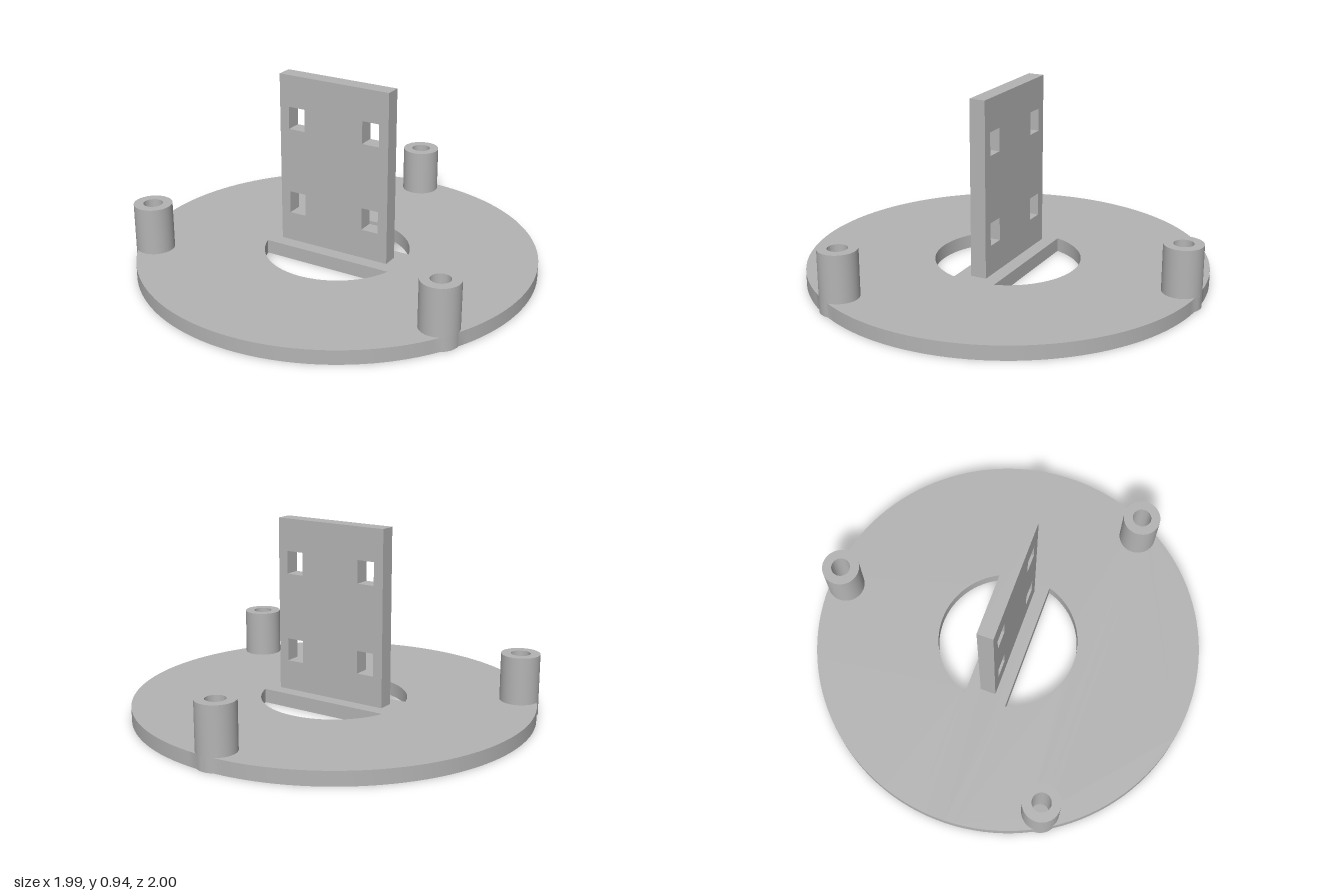
import * as THREE from 'three';
import { toCreasedNormals } from 'three/addons/utils/BufferGeometryUtils.js';

const DISC_R = 0.993, DISC_H = 0.07;
const POST_D = 0.91, POST_R = 0.095, BORE_R = 0.048, POST_TOP = 0.305;
const OPENING_R = 0.362, BAR_HALF = 0.109;
const PLATE_W = 0.6, PLATE_TOP = 0.94, PLATE_T = 0.08;
const postAngles = [90, 210, 330].map(THREE.MathUtils.degToRad);

// Points along an arc, leaving out the last one
function arc(cx, cy, r, from, to, n) {
  return Array.from({ length: n }, (_, i) => {
    const a = from + (to - from) * i / n;
    return new THREE.Vector2(cx + r * Math.cos(a), cy + r * Math.sin(a));
  });
}

const circle = (cx, cy, r) => arc(cx, cy, r, 0, Math.PI * 2, 48);

function rectangle(x0, y0, x1, y1) {
  return [[x0, y0], [x1, y0], [x1, y1], [x0, y1]].map(([x, y]) => new THREE.Vector2(x, y));
}

function extrude(outline, holes, depth) {
  const shape = new THREE.Shape(outline);
  shape.holes = holes.map((points) => new THREE.Path(points));
  const geometry = new THREE.ExtrudeGeometry(shape, { depth, bevelEnabled: false });
  return toCreasedNormals(geometry, 0.5);
}

export function createModel() {
  const model = new THREE.Group();
  model.name = 'mountingBase';
  const grey = new THREE.MeshStandardMaterial({ color: 0xb4b4b4 });
  grey.name = 'grey';

  function add(name, geometry) {
    const mesh = new THREE.Mesh(geometry, grey);
    mesh.name = name;
    mesh.position.z = 0.005;
    model.add(mesh);
    return mesh;
  }

  // Disc outline, bulging slightly where each post overhangs the rim
  const along = (DISC_R ** 2 + POST_D ** 2 - POST_R ** 2) / (2 * POST_D);
  const across = Math.sqrt(DISC_R ** 2 - along ** 2);
  const discHalf = Math.atan2(across, along);
  const postHalf = Math.atan2(across, along - POST_D);
  const posts = postAngles.map((a) => [POST_D * Math.cos(a), POST_D * Math.sin(a)]);
  const outline = postAngles.flatMap((a, i) => [
    ...arc(...posts[i], POST_R, a - postHalf, a + postHalf, 12),
    ...arc(0, 0, DISC_R, a + discHalf, a + Math.PI * 2 / 3 - discHalf, 40),
  ]);

  // Two circular-segment openings leave a bar across the middle
  const start = Math.asin(BAR_HALF / OPENING_R);
  const openings = [0, Math.PI].map((turn) =>
    [...arc(0, 0, OPENING_R, turn + start, turn + Math.PI - start, 40),
      new THREE.Vector2(
        OPENING_R * Math.cos(turn + Math.PI - start),
        OPENING_R * Math.sin(turn + Math.PI - start))]);
  const bores = posts.map(([x, y]) => circle(x, y, BORE_R));
  add('baseDisc', extrude(outline, [...openings, ...bores], DISC_H).rotateX(-Math.PI / 2));

  // Hollow posts
  posts.forEach(([x, y], i) => {
    const geometry = extrude(circle(x, y, POST_R), [bores[i]], POST_TOP - DISC_H);
    add('hollowPost' + (i + 1), geometry.rotateX(-Math.PI / 2)).position.y = DISC_H;
  });

  // Upright plate with four rectangular slots
  const slots = [-0.205, 0.205].flatMap((x) => [0.277, 0.722].map((y) =>
    rectangle(x - 0.045, y - 0.057, x + 0.045, y + 0.057)));
  const plate = rectangle(-PLATE_W / 2, DISC_H, PLATE_W / 2, PLATE_TOP);
  add('uprightPlate', extrude(plate, slots, PLATE_T).translate(0, 0, -PLATE_T / 2));

  return model;
}
